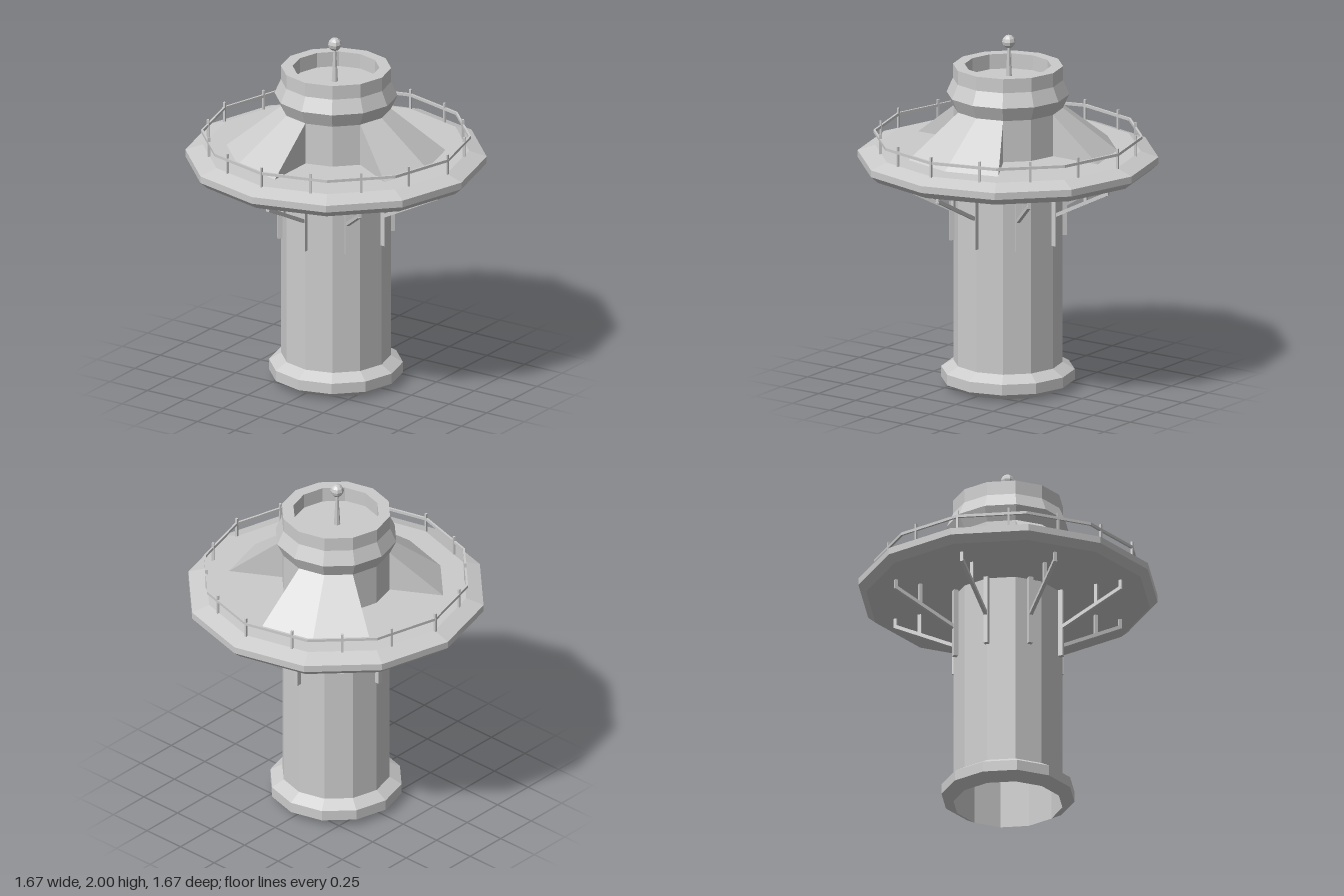
import * as THREE from 'three';

const SIDES = 12;
const mat = new THREE.MeshStandardMaterial({ color: 0xcccccc, flatShading: true });
const openMat = new THREE.MeshStandardMaterial({ color: 0xcccccc, flatShading: true, side: THREE.DoubleSide });

function add(parent, name, geometry, material = mat) {
  const mesh = new THREE.Mesh(geometry, material);
  mesh.name = name;
  parent.add(mesh);
  return mesh;
}

// Twelve-sided solid of revolution from [radius, y] pairs
function turned(profile) {
  return new THREE.LatheGeometry(profile.map(([r, y]) => new THREE.Vector2(r, y)), SIDES);
}

// Square bar between two points of the xy plane
function bar(parent, name, [x0, y0], [x1, y1], width) {
  const mesh = add(parent, name, new THREE.BoxGeometry(Math.hypot(x1 - x0, y1 - y0), width, width));
  mesh.position.set((x0 + x1) / 2, (y0 + y1) / 2, 0);
  mesh.rotation.z = Math.atan2(y1 - y0, x1 - x0);
  return mesh;
}

// Sloped buttress spanning two facets of the tower
function wedgeGeometry(rIn, rOut, yLow, yHigh) {
  const p = (r, i, y) => [r * Math.cos(i * Math.PI / 6), y, r * Math.sin(i * Math.PI / 6)];
  const o = i => p(rOut, i, yLow), t = i => p(rIn, i, yHigh), b = i => p(rIn, i, yLow);
  const corners = [o(-1), b(-1), t(-1), o(1), t(1), b(1)];
  for (const i of [-1, 0]) corners.push(o(i + 1), o(i), t(i), o(i + 1), t(i), t(i + 1));
  const g = new THREE.BufferGeometry();
  g.setAttribute('position', new THREE.Float32BufferAttribute(corners.flat(), 3));
  g.computeVertexNormals();
  return g;
}

// Distance from the axis to the rail polygon at an angle
function railRadius(angle, corner) {
  const step = 2 * Math.PI / SIDES;
  const local = ((angle % step) + step) % step - step / 2;
  return corner * Math.cos(step / 2) / Math.cos(local);
}

export function createModel() {
  const model = new THREE.Group();
  model.name = 'tower';

  // Tower body
  add(model, 'base', turned([[0.303, 0], [0.37, 0.04], [0.37, 0.1], [0.303, 0.14]]), openMat);
  add(model, 'shaft', turned([[0.303, 0], [0.303, 1.6]]), openMat);
  add(model, 'deck', turned([[0.303, 1.245], [0.79, 1.245], [0.833, 1.283], [0.833, 1.322],
    [0.735, 1.355], [0.303, 1.355]]));
  add(model, 'head', turned([[0.303, 1.59], [0.34, 1.67], [0.305, 1.75], [0.305, 1.83],
    [0.24, 1.83], [0.24, 1.745], [0, 1.745]]));

  // Three buttresses above the deck
  for (let i = 0; i < 3; i++) {
    const wedge = add(model, 'buttress', wedgeGeometry(0.303, 0.605, 1.355, 1.592));
    wedge.rotation.y = i * 2 * Math.PI / 3;
  }

  // Railing
  add(model, 'rail', turned([[0.734, 1.425], [0.746, 1.425], [0.746, 1.441], [0.734, 1.441], [0.734, 1.425]]));
  for (let i = 0; i < 16; i++) {
    const a = i * Math.PI / 8;
    const r = railRadius(a, 0.739);
    const post = add(model, 'railPost', new THREE.BoxGeometry(0.012, 0.12, 0.012));
    post.position.set(r * Math.cos(a), 1.407, r * Math.sin(a));
    post.rotation.y = -a;
  }

  // Eight brackets carrying the deck
  for (let i = 0; i < 8; i++) {
    const bracket = new THREE.Group();
    bracket.name = 'bracket';
    bracket.rotation.y = i * Math.PI / 4;
    bar(bracket, 'wallPost', [0.316, 0.845], [0.316, 1.25], 0.026);
    bar(bracket, 'strut', [0.32, 1.02], [0.675, 1.2], 0.02);
    bar(bracket, 'innerHanger', [0.525, 1.12], [0.525, 1.25], 0.018);
    bar(bracket, 'outerHanger', [0.67, 1.188], [0.67, 1.25], 0.018);
    model.add(bracket);
  }

  // Antenna with a ball on top
  const mast = add(model, 'mast', new THREE.CylinderGeometry(0.007, 0.018, 0.2, 8));
  mast.position.set(-0.008, 1.84, 0);
  const ball = add(model, 'mastBall', new THREE.SphereGeometry(0.038, 8, 6));
  ball.position.set(-0.008, 1.962, 0);

  return model;
}
